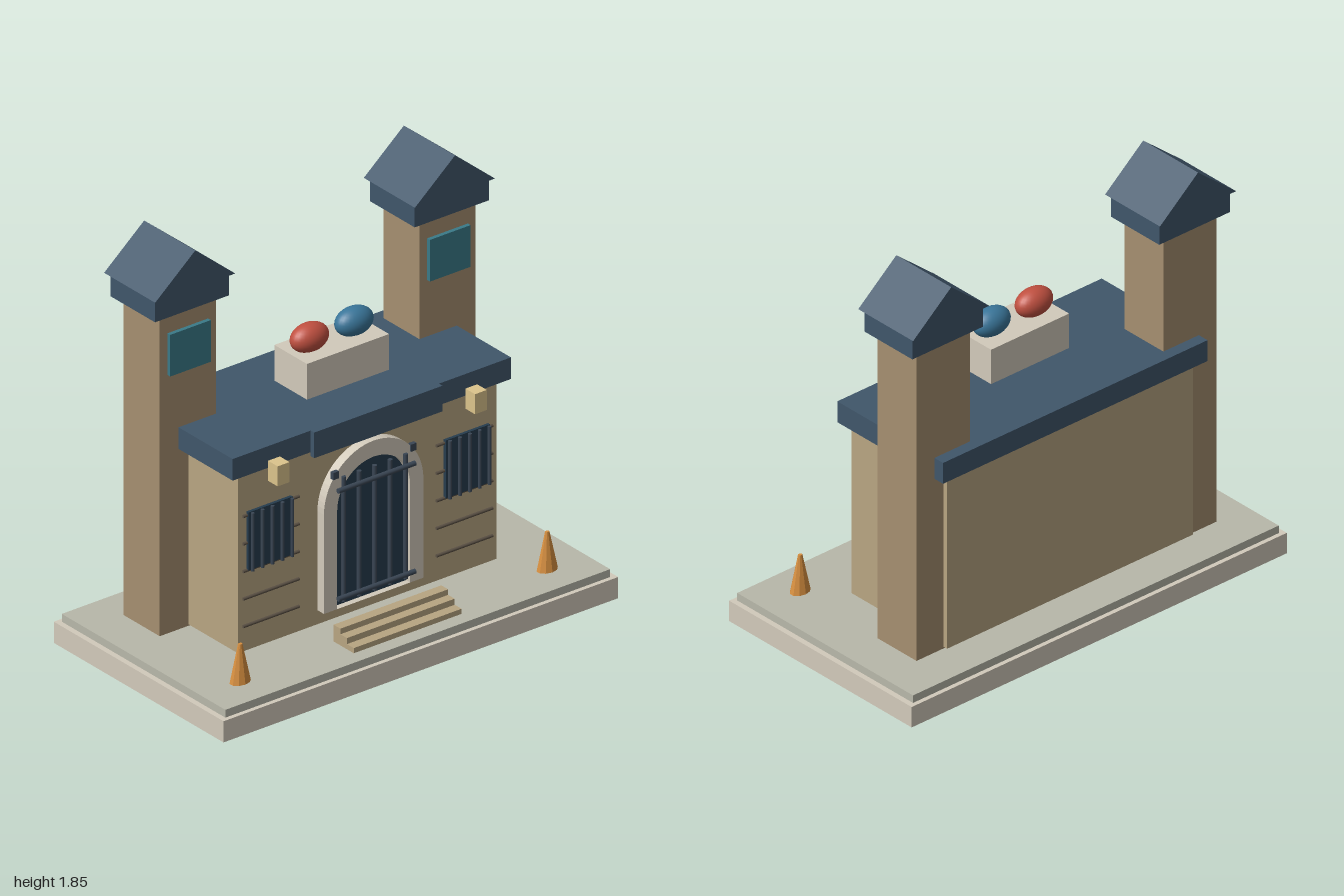
import * as THREE from 'three';

const mat = (color, flat = false) => new THREE.MeshStandardMaterial({ color, flatShading: flat });
const M = {
  plinth: mat(0xd2cabb), slab: mat(0xb8b8aa), wall: mat(0xb8a582), tower: mat(0xa68f70),
  roof: mat(0x40566a), dark: mat(0x263c4e), iron: mat(0x3a4654), groove: mat(0x5a5044),
  glass: mat(0x3a7a88), lamp: mat(0xdcc48c), cone: mat(0xd89040, true),
  red: mat(0xc05040), blue: mat(0x3a769a),
};

export function createModel() {
  const model = new THREE.Group();
  model.name = 'gatehouse';

  const add = (name, geometry, material, x = 0, y = 0, z = 0) => {
    const mesh = new THREE.Mesh(geometry, material);
    mesh.name = name;
    mesh.position.set(x, y, z);
    model.add(mesh);
    return mesh;
  };
  // Box given by its limits on each axis
  const box = (name, material, x0, x1, y0, y1, z0, z1) =>
    add(name, new THREE.BoxGeometry(x1 - x0, y1 - y0, z1 - z0), material,
      (x0 + x1) / 2, (y0 + y1) / 2, (z0 + z1) / 2);
  const rod = (name, material, radius, length, x, y, z, horizontal) => {
    const mesh = add(name, new THREE.CylinderGeometry(radius, radius, length, 10), material, x, y, z);
    if (horizontal) mesh.rotation.z = Math.PI / 2;
    return mesh;
  };
  // Round-headed outline used by the door and its surround
  const arch = (Outline, halfWidth, bottom, spring) => {
    const o = new Outline();
    o.moveTo(-halfWidth, bottom);
    o.lineTo(halfWidth, bottom);
    o.lineTo(halfWidth, spring);
    o.absarc(0, spring, halfWidth, 0, Math.PI, false);
    o.lineTo(-halfWidth, bottom);
    return o;
  };
  const extrude = (shape, depth) =>
    new THREE.ExtrudeGeometry(shape, { depth, bevelEnabled: false, curveSegments: 16 });

  // Ground
  box('plinth', M.plinth, -1, 1, 0, 0.095, -0.545, 0.545);
  box('pavement', M.slab, -0.975, 0.975, 0.095, 0.13, -0.525, 0.525);

  // Main building
  box('mainWall', M.wall, -0.655, 0.655, 0.147, 0.95, -0.37, 0.2);
  box('mainRoof', M.roof, -0.705, 0.705, 0.95, 1.047, -0.402, 0.23);
  box('signBoard', M.roof, -0.325, 0.325, 0.945, 1.06, 0.247, 0.272);

  // Door with stone surround
  const surround = arch(THREE.Shape, 0.252, 0.21, 0.655);
  surround.holes.push(arch(THREE.Path, 0.185, 0.21, 0.65));
  add('doorSurround', extrude(surround, 0.042), M.plinth, 0, 0, 0.2);
  add('door', extrude(arch(THREE.Shape, 0.185, 0.21, 0.65), 0.015), M.dark, 0, 0, 0.2);

  // Door grille
  for (let i = -2; i <= 2; i++) rod('grilleBar', M.iron, 0.01, 0.56, i * 0.0785, 0.52, 0.248);
  for (const y of [0.265, 0.75]) rod('grilleRail', M.iron, 0.011, 0.39, 0, y, 0.26, true);

  // Steps, highest next to the door
  [[0.33, 0.205], [0.372, 0.18], [0.416, 0.153]].forEach(([z, top]) =>
    box('step', M.wall, -0.273, 0.273, 0.13, top, z, z + 0.044));

  for (const s of [-1, 1]) {
    const side = s * 0.658;

    // Tower with cap, gabled roof and window
    box('tower', M.tower, side - 0.142, side + 0.142, 0.14, 1.575, -0.35, -0.118);
    box('towerCap', M.roof, side - 0.188, side + 0.188, 1.575, 1.665, -0.377, -0.09);
    const gable = new THREE.Shape([
      new THREE.Vector2(-0.203, 1.676), new THREE.Vector2(0.203, 1.676), new THREE.Vector2(0, 1.845)]);
    add('towerRoof', extrude(gable, 0.328), M.roof, side, 0, -0.398);
    box('towerWindow', M.glass, side - 0.103, side + 0.103, 1.3, 1.487, -0.118, -0.1);

    // Barred window, wall courses and lamp
    const wx = s * 0.5;
    box('window', M.dark, wx - 0.112, wx + 0.112, 0.51, 0.77, 0.2, 0.214);
    for (let i = -2; i <= 2; i++) rod('windowBar', M.iron, 0.008, 0.26, wx + i * 0.05, 0.64, 0.226);
    for (let i = 0; i < 5; i++) rod('wallCourse', M.groove, 0.007, 0.285, s * 0.49, 0.26 + i * 0.1235, 0.203, true);
    box('lamp', M.lamp, wx - 0.03, wx + 0.03, 0.895, 0.985, 0.235, 0.297);
    box('doorHinge', M.iron, s * 0.197 - 0.014, s * 0.197 + 0.014, 0.8, 0.832, 0.232, 0.25);

    // Oval cone on the pavement
    const cone = add('groundCone', new THREE.CylinderGeometry(0.01, 0.048, 0.17, 10), M.cone, s * 0.778, 0.215, 0.37);
    cone.scale.z = 0.72;

    // Oval ball on the rooftop block
    const ball = add(s < 0 ? 'redBall' : 'blueBall', new THREE.SphereGeometry(1, 28, 18),
      s < 0 ? M.red : M.blue, s * 0.113, 1.298, -0.028);
    ball.scale.set(0.09, 0.062, 0.057);
  }

  box('rooftopBlock', M.plinth, -0.208, 0.208, 1.09, 1.25, -0.132, 0.077);
  return model;
}
